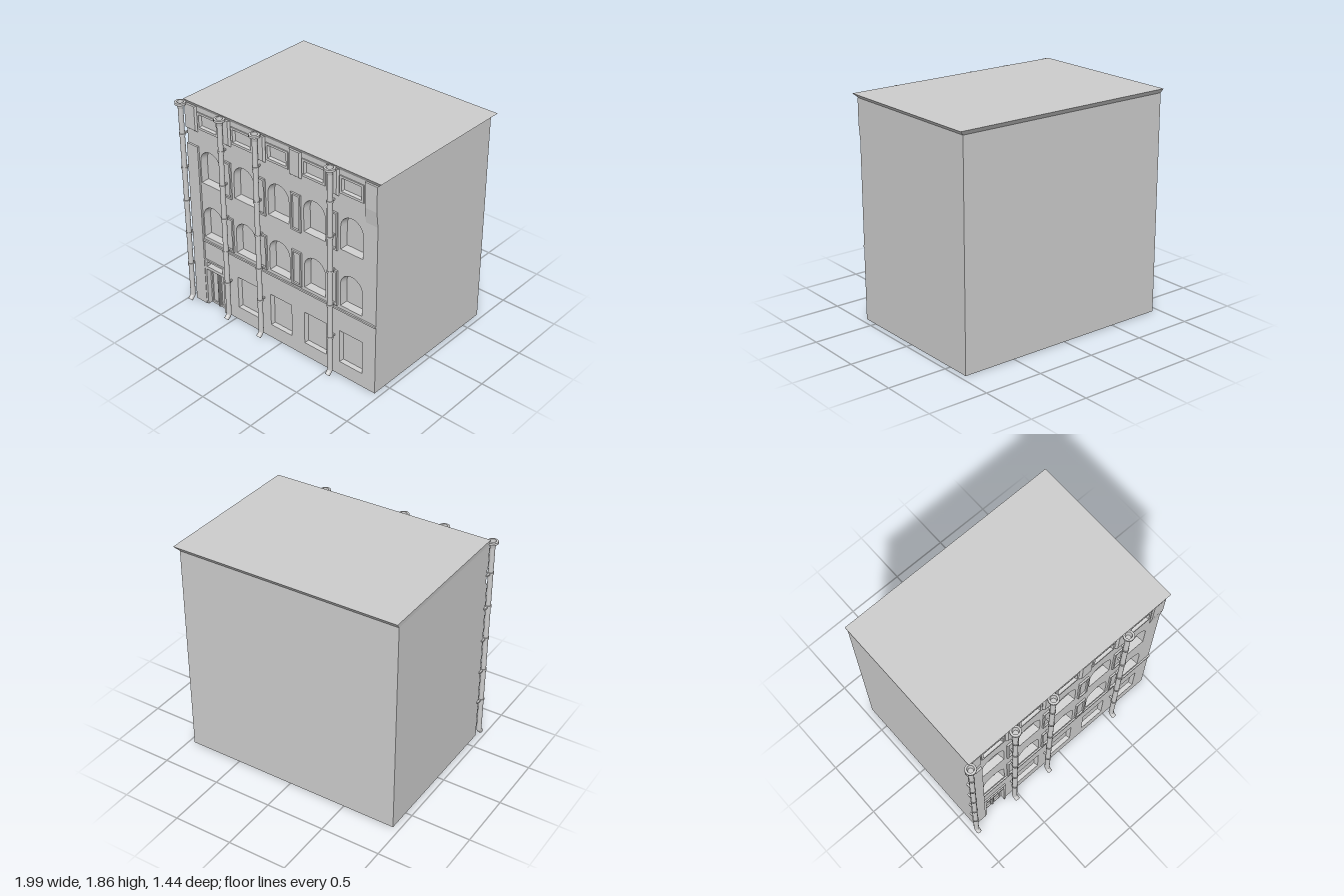
import * as THREE from 'three';
import { mergeVertices, toCreasedNormals } from 'three/addons/utils/BufferGeometryUtils.js';

const mat = new THREE.MeshStandardMaterial({ color: 0xcccccc, side: THREE.DoubleSide });
const L = -0.945, R = 0.954, BACK = -0.693, FRONT = 0.625, TOP = 1.826;

function add(parent, name, geo, x = 0, y = 0, z = 0) {
  const m = new THREE.Mesh(geo, mat);
  m.name = name;
  m.position.set(x, y, z);
  parent.add(m);
  return m;
}

// Outlines as counter-clockwise point loops
const rect = (x0, x1, y0, y1) => [[x0, y0], [x1, y0], [x1, y1], [x0, y1]].map(p => new THREE.Vector2(...p));
function arch(cx, y0, y1, w) {
  const r = w / 2, pts = [new THREE.Vector2(cx - r, y0), new THREE.Vector2(cx + r, y0)];
  for (let i = 0; i <= 14; i++) {
    const a = Math.PI * i / 14;
    pts.push(new THREE.Vector2(cx + r * Math.cos(a), y1 - r + r * Math.sin(a)));
  }
  return pts;
}

// Band of quads joining two loops of [x, y, z] points
function loft(a, b, closed = true) {
  const pos = [], n = a.length;
  for (let i = 0; i < (closed ? n : n - 1); i++) {
    const j = (i + 1) % n;
    pos.push(...a[i], ...a[j], ...b[j], ...a[i], ...b[j], ...b[i]);
  }
  const g = new THREE.BufferGeometry();
  g.setAttribute('position', new THREE.Float32BufferAttribute(pos, 3));
  g.computeVertexNormals();
  return g;
}

// Sloped sides from an outer outline to an inner one, closed by a flat face
function panel(parent, name, outer, inner, z0, z1) {
  const g = new THREE.Group();
  g.name = name;
  parent.add(g);
  const at = (pts, z) => pts.map(p => [p.x, p.y, z]);
  add(g, name + 'Sides', toCreasedNormals(loft(at(outer, z0), at(inner, z1)), 0.6));
  add(g, name + 'Face', new THREE.ShapeGeometry(new THREE.Shape(inner)), 0, 0, z1);
}

// Flat ring between two outlines, standing out by depth
function frame(parent, name, outer, inner, z, depth) {
  const s = new THREE.Shape(outer);
  s.holes.push(new THREE.Path(inner));
  add(parent, name, new THREE.ExtrudeGeometry(s, { depth, bevelEnabled: false }), 0, 0, z);
}

function box(parent, name, x0, x1, y0, y1, z0, z1) {
  add(parent, name, new THREE.BoxGeometry(x1 - x0, y1 - y0, z1 - z0), (x0 + x1) / 2, (y0 + y1) / 2, (z0 + z1) / 2);
}

// Drainpipe with hopper, collars and bent outlet
function drainpipe(x) {
  const g = new THREE.Group();
  g.name = 'drainpipe';
  g.position.set(x, 0, 0.673);
  const r = 0.021;
  add(g, 'pipe', new THREE.CylinderGeometry(r, r, 1.75, 16, 1, true), 0, 0.93, 0);
  const bend = new THREE.CatmullRomCurve3([[0, 0.06, 0], [0, 0.048, 0.002], [0, 0.035, 0.012], [0, 0.014, 0.033]]
    .map(p => new THREE.Vector3(...p)));
  add(g, 'outlet', new THREE.TubeGeometry(bend, 8, r, 16));
  const hopper = [[0.021, 1.79], [0.028, 1.82], [0.044, 1.826], [0.044, 1.845], [0.027, 1.847], [0.021, 1.8], [0, 1.8]]
    .map(p => new THREE.Vector2(...p));
  add(g, 'hopper', toCreasedNormals(new THREE.LatheGeometry(hopper, 16), 0.6));
  for (const y of [1.565, 1.265, 0.965, 0.66, 0.36]) {
    add(g, 'collar', new THREE.CylinderGeometry(0.026, 0.026, 0.018, 16), 0, y, 0);
    add(g, 'wallTie', new THREE.BoxGeometry(0.014, 0.014, 0.06), 0, y, -0.035);
  }
  return g;
}

export function createModel() {
  const model = new THREE.Group();
  model.name = 'building';

  // Front wall with a notch for the door
  const wall = new THREE.Shape([[L, 0], [-0.81, 0], [-0.81, 0.35], [-0.62, 0.35], [-0.62, 0], [R, 0], [R, TOP], [L, TOP]]
    .map(p => new THREE.Vector2(...p)));
  const details = new THREE.Group();
  details.name = 'facadeDetails';
  model.add(details);
  const recess = (name, outer, inner, depth) => {
    wall.holes.push(new THREE.Path(outer));
    panel(details, name, outer, inner, FRONT, FRONT - depth);
  };

  for (let i = 0; i < 5; i++) {
    const x = -0.711 + 0.357 * i;
    // Arched windows on two floors
    for (const y of [0.66, 1.163])
      recess('archedWindow', arch(x, y, y + 0.3, 0.21), arch(x, y + 0.011, y + 0.289, 0.188), 0.06);
    // Frieze panels
    const hole = rect(x - 0.092, x + 0.092, 1.66, 1.768);
    recess('friezePanel', hole, rect(x - 0.084, x + 0.084, 1.668, 1.76), 0.015);
    frame(details, 'friezeFrame', rect(x - 0.11, x + 0.11, 1.64, 1.786), hole, FRONT, 0.009);
    // Ground floor windows
    if (i > 0)
      recess('groundWindow', rect(x - 0.112, x + 0.112, 0.125, 0.42), rect(x - 0.102, x + 0.102, 0.134, 0.411), 0.035);
    // Framed strips and corbels between the bays
    if (i < 4) {
      const c = x + 0.179;
      for (const [y0, y1] of [[0.65, 0.96], [1.14, 1.463]])
        frame(details, 'stripFrame', rect(c - 0.048, c + 0.048, y0, y1), rect(c - 0.034, c + 0.034, y0 + 0.016, y1 - 0.016), FRONT, 0.014);
      panel(details, 'corbel', rect(c - 0.058, c + 0.058, 1.605, TOP), rect(c - 0.046, c + 0.046, 1.62, TOP), FRONT, 0.643);
    }
  }

  // End corbels, left pier and string course
  panel(details, 'corbel', rect(L, -0.83, 1.605, TOP), rect(L, -0.84, 1.62, TOP), FRONT, 0.643);
  const bracket = new THREE.Shape([[0, 1.49], [0.016, 1.62], [0.016, TOP], [0, TOP]].map(p => new THREE.Vector2(...p)));
  const bracketGeo = new THREE.ExtrudeGeometry(bracket, { depth: R - 0.845, bevelEnabled: false });
  add(details, 'endBracket', bracketGeo, R, 0, FRONT).rotation.y = -Math.PI / 2;
  bracketGeo.scale(1, 1, 1);
  box(details, 'pier', L, -0.828, 0, 1.48, FRONT, 0.641);
  box(details, 'stringCourse', -0.828, R, 0.615, 0.631, FRONT, 0.638);

  // Door, open fanlight and surround
  const light = rect(-0.803, -0.625, 0.378, 0.424);
  wall.holes.push(new THREE.Path(light));
  frame(details, 'fanlightLining', rect(-0.81, -0.618, 0.371, 0.431), light, 0.59, 0.04);
  const surround = new THREE.Shape([[-0.828, 0], [-0.81, 0], [-0.81, 0.35], [-0.62, 0.35], [-0.62, 0], [-0.602, 0], [-0.602, 0.44], [-0.828, 0.44]]
    .map(p => new THREE.Vector2(...p)));
  surround.holes.push(new THREE.Path(light));
  add(details, 'doorSurround', new THREE.ExtrudeGeometry(surround, { depth: 0.012, bevelEnabled: false }), 0, 0, FRONT);
  const path = z => [[-0.81, 0, z], [-0.81, 0.35, z], [-0.62, 0.35, z], [-0.62, 0, z]];
  add(details, 'doorReveal', loft(path(FRONT), path(0.585), false));
  add(details, 'doorBack', new THREE.PlaneGeometry(0.19, 0.35), -0.715, 0.175, 0.585);
  for (const s of [-1, 1]) {
    const c = -0.715 + s * 0.048;
    frame(details, 'doorLeaf', rect(c - 0.045, c + 0.045, 0, 0.345), rect(c - 0.03, c + 0.03, 0.02, 0.325), 0.585, 0.012);
  }
  box(details, 'doorMeetingStile', -0.721, -0.709, 0, 0.345, 0.585, 0.606);
  add(model, 'frontWall', new THREE.ShapeGeometry(wall), 0, 0, FRONT);

  // Side and back walls, open underneath
  const plan = y => [[R, y, FRONT], [R, y, BACK], [L, y, BACK], [L, y, FRONT]];
  add(model, 'outerWalls', loft(plan(0), plan(TOP), false));

  // Flared eaves and flat roof
  const eaves = (x0, x1, z0, z1, y) => [[x0, y, z1], [x1, y, z1], [x1, y, z0], [x0, y, z0]];
  const ex = 0.994, eb = -0.72, ef = 0.648;
  add(model, 'eaves', loft(eaves(L, R, BACK, FRONT, TOP), eaves(L - 0.003, ex, eb, ef, 1.863)));
  add(model, 'roof', new THREE.PlaneGeometry(ex - L + 0.003, ef - eb).rotateX(-Math.PI / 2),
    (ex + L - 0.003) / 2, 1.863, (ef + eb) / 2);

  for (const x of [-0.955, -0.537, -0.177, 0.551]) model.add(drainpipe(x));
  return model;
}
